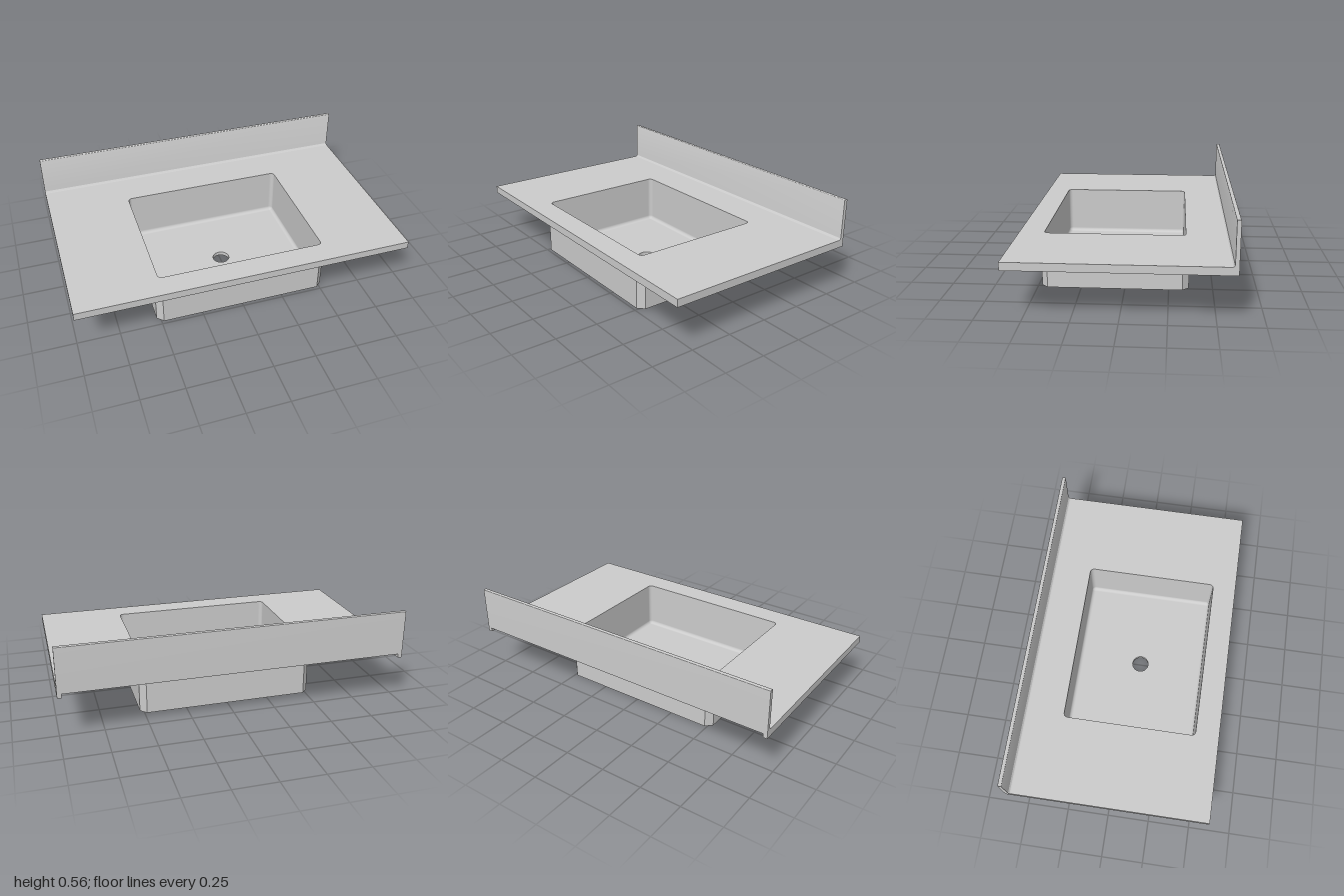
import * as THREE from 'three';
import { toCreasedNormals } from 'three/addons/utils/BufferGeometryUtils.js';

const TOP = 0.32, UNDER = 0.298, RIM_BOTTOM = 0.275, FLOOR = 0.025;
const BASIN_Z = 0.058, HALF_X = 0.5, HALF_Z = 0.4, WALL = 0.022, FILLET = 0.022;

const material = new THREE.MeshStandardMaterial({ color: 0xcccccc });

function addMesh(group, name, geometry) {
  const mesh = new THREE.Mesh(geometry, material);
  mesh.name = name;
  group.add(mesh);
}

// Rounded rectangle around the basin centre: x, z and outward direction per point
function basinRing(inset, radius) {
  const ring = [], steps = 6;
  [[1, 1], [-1, 1], [-1, -1], [1, -1]].forEach(([sx, sz], corner) => {
    for (let i = 0; i <= steps; i++) {
      const a = (corner + i / steps) * Math.PI / 2;
      const nx = Math.cos(a), nz = Math.sin(a);
      ring.push({
        x: sx * (HALF_X - inset - radius) + radius * nx,
        z: BASIN_Z + sz * (HALF_Z - inset - radius) + radius * nz, nx, nz,
      });
    }
  });
  return ring;
}

const ringPath = (inset, radius) =>
  new THREE.Path(basinRing(inset, radius).map(p => new THREE.Vector2(p.x, p.z)));

// Rectangle with chamfered corners in the x-z plane
function chamferedShape(hx, hz, c) {
  const pts = [[hx, hz - c], [hx - c, hz], [c - hx, hz], [-hx, hz - c],
    [-hx, c - hz], [c - hx, -hz], [hx - c, -hz], [hx, c - hz]];
  return new THREE.Shape(pts.map(([x, z]) => new THREE.Vector2(x, z + BASIN_Z)));
}

// Extrudes an x-z shape downward from the given height
function plate(shape, top, bottom) {
  const g = new THREE.ExtrudeGeometry(shape, { depth: top - bottom, bevelEnabled: false, curveSegments: 24 });
  return g.rotateX(Math.PI / 2).translate(0, top, 0);
}

// Inner basin walls with a rounded transition into the floor
function linerGeometry() {
  const rows = [{ y: UNDER, inset: 0, a: 0 }];
  for (let i = 0; i <= 6; i++) {
    const a = i / 6 * Math.PI / 2;
    rows.push({ y: FLOOR + FILLET * (1 - Math.sin(a)), inset: FILLET * (1 - Math.cos(a)), a });
  }
  const pos = [], nor = [], index = [];
  rows.forEach(({ y, inset, a }, r) => {
    const ring = basinRing(inset, 0.024 - inset), n = ring.length;
    ring.forEach((p, j) => {
      pos.push(p.x, y, p.z);
      nor.push(-p.nx * Math.cos(a), Math.sin(a), -p.nz * Math.cos(a));
      if (r === 0) return;
      const k = (j + 1) % n, up = (r - 1) * n, low = r * n;
      index.push(up + j, low + j, up + k, up + k, low + j, low + k);
    });
  });
  const g = new THREE.BufferGeometry();
  g.setAttribute('position', new THREE.Float32BufferAttribute(pos, 3));
  g.setAttribute('normal', new THREE.Float32BufferAttribute(nor, 3));
  g.setIndex(index);
  return g;
}

export function createModel() {
  const group = new THREE.Group();
  group.name = 'vanityTop';

  // Countertop slab with the basin opening
  const slab = new THREE.Shape([[-1, -0.563], [1, -0.563], [1, 0.6], [-1, 0.6]]
    .map(([x, z]) => new THREE.Vector2(x, z)));
  slab.holes.push(ringPath(0, 0.024));
  addMesh(group, 'countertop', plate(slab, TOP, UNDER));

  // Downturned rim along the front and both sides, open at the back
  const rimW = 0.024, rimH = UNDER - RIM_BOTTOM, rimY = RIM_BOTTOM + rimH / 2;
  addMesh(group, 'frontRim',
    new THREE.BoxGeometry(2, rimH, rimW).translate(0, rimY, 0.6 - rimW / 2));
  for (const [name, s] of [['leftRim', 1], ['rightRim', -1]]) {
    addMesh(group, name,
      new THREE.BoxGeometry(rimW, rimH, 1.2 - rimW).translate(s * (1 - rimW / 2), rimY, -rimW / 2));
  }

  // Backsplash profile with a cove at its foot, run along x
  const splash = new THREE.Shape();
  splash.moveTo(0.563, UNDER);
  splash.lineTo(0.6, UNDER);
  splash.lineTo(0.6, 0.558);
  splash.absarc(0.596, 0.558, 0.004, 0, Math.PI / 2, false);
  splash.lineTo(0.582, 0.562);
  splash.absarc(0.582, 0.558, 0.004, Math.PI / 2, Math.PI, false);
  splash.lineTo(0.578, 0.335);
  splash.absarc(0.563, 0.335, 0.015, 0, -Math.PI / 2, true);
  splash.lineTo(0.563, UNDER);
  const splashGeometry = new THREE.ExtrudeGeometry(splash, { depth: 2, bevelEnabled: false, curveSegments: 8 });
  splashGeometry.rotateY(Math.PI / 2).translate(-1, 0, 0);
  addMesh(group, 'backsplash', toCreasedNormals(splashGeometry, 0.6));

  // Basin: outer walls, floor with drain hole, and rounded lining
  const basin = new THREE.Group();
  basin.name = 'basin';
  group.add(basin);

  const walls = chamferedShape(HALF_X + WALL, HALF_Z + WALL, 0.036);
  walls.holes.push(ringPath(-0.002, 0.026));
  addMesh(basin, 'basinWalls', plate(walls, UNDER, FLOOR));

  const floor = chamferedShape(HALF_X + WALL, HALF_Z + WALL, 0.036);
  floor.holes.push(new THREE.Path().absarc(0, BASIN_Z, 0.051, 0, Math.PI * 2, true));
  addMesh(basin, 'basinFloor', toCreasedNormals(plate(floor, FLOOR, 0), 0.5));

  addMesh(basin, 'basinLining', linerGeometry());
  return group;
}
